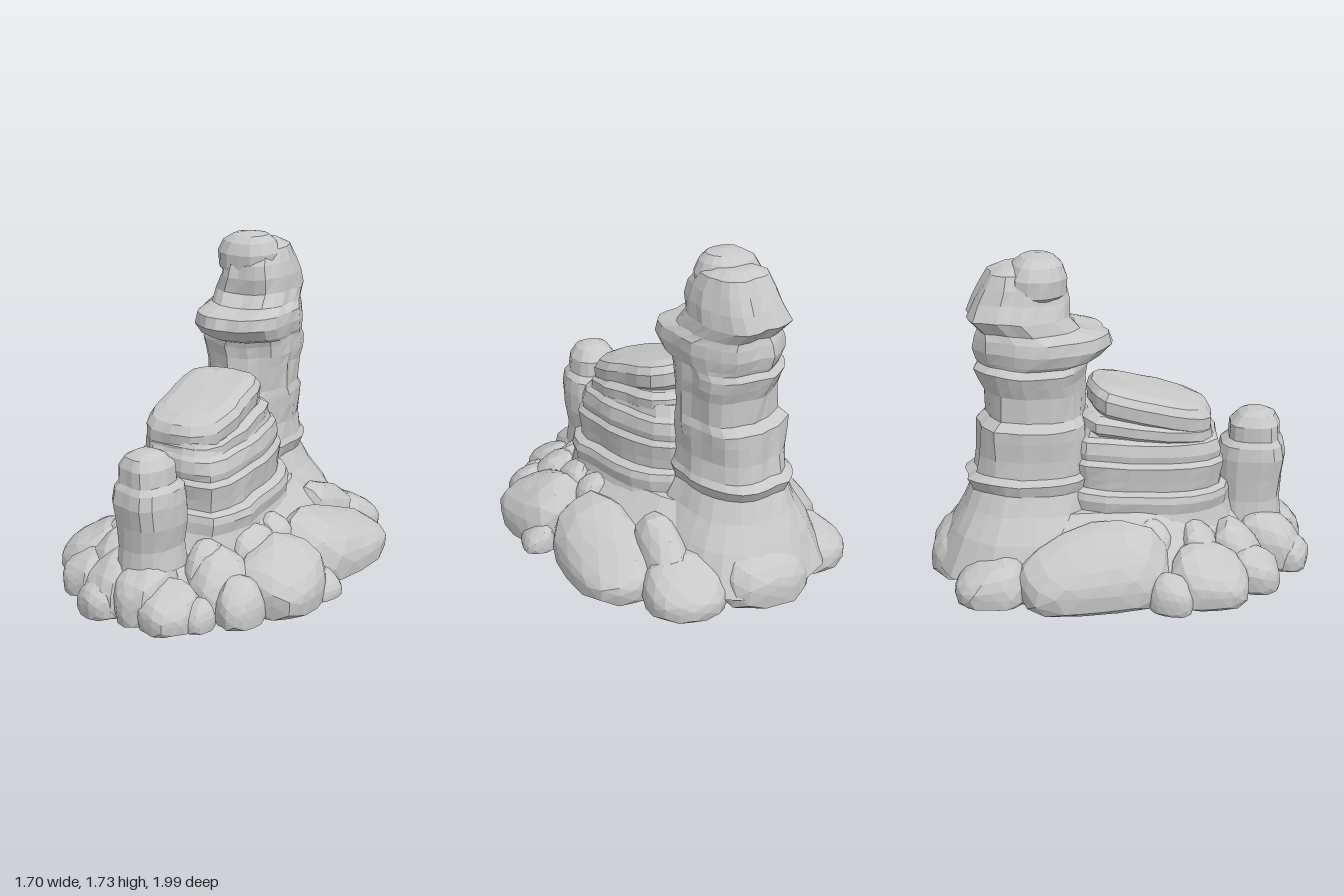
import * as THREE from 'three';

const stone = new THREE.MeshStandardMaterial({ color: 0xc8c8c8 });
stone.name = 'greyStone';
stone.flatShading = true;

const TURN = 0.43; // the ridge runs diagonally across the base
const floorAt = (x, z) => 0.02 + 0.015 * x - 0.015 * z;
const rough = (x, y, z) =>
  (Math.sin(9 * x + 5 * y + 1) + Math.sin(11 * z - 7 * y + 2) + Math.sin(17 * x - 13 * z + 4 * y)) / 3;

// Weathered strata: rings of [y, centreX, centreZ, halfWidth, halfLength], bottom to top
function strata(name, rings, { tilt = 0, power = 2.7, turn = TURN, sides = 26, wear = 0.016 } = {}) {
  const pos = [], index = [];
  const s = Math.sin(turn), c = Math.cos(turn);
  for (const [y, cx, cz, hw, hl] of rings) {
    for (let i = 0; i < sides; i++) {
      const a = (i / sides) * Math.PI * 2;
      const ca = Math.cos(a), sa = Math.sin(a);
      const k = 1 / Math.pow(Math.abs(ca) ** power + Math.abs(sa) ** power, 1 / power);
      const n = 1 + (wear * rough(ca * 0.7, y * 1.3, sa * 0.7)) / Math.max(hw, 0.12);
      const u = ca * k * hw * n, v = sa * k * hl * n;
      const x = cx + u * c + v * s, z = cz - u * s + v * c;
      const lift = wear * 0.7 * rough(x, 1, z);
      pos.push(x, Math.max(floorAt(x, z), y - tilt * v + lift), z);
    }
  }
  const last = rings.length - 1;
  for (let r = 0; r < last; r++) {
    for (let i = 0; i < sides; i++) {
      const a = r * sides + i, b = r * sides + ((i + 1) % sides);
      index.push(a, a + sides, b, b, a + sides, b + sides);
    }
  }
  // Close both ends
  for (const r of [0, last]) {
    const [y, cx, cz] = rings[r];
    const mid = pos.length / 3;
    pos.push(cx, r ? y + 0.006 : Math.max(y, floorAt(cx, cz)), cz);
    for (let i = 0; i < sides; i++) {
      const a = r * sides + i, b = r * sides + ((i + 1) % sides);
      index.push(...(r ? [mid, b, a] : [mid, a, b]));
    }
  }
  const g = new THREE.BufferGeometry();
  g.setAttribute('position', new THREE.Float32BufferAttribute(pos, 3));
  g.setIndex(index);
  g.computeVertexNormals();
  const mesh = new THREE.Mesh(g, stone);
  mesh.name = name;
  return mesh;
}

// Blocky rounded boulder, sloping away from the middle and cut flat at the ground
function boulder([x, z, rx, rz, top, turn = 0, low = 0]) {
  const g = new THREE.IcosahedronGeometry(1, 2);
  const p = g.attributes.position;
  const cy = low + (top - low) * 0.35, ry = (top - low) * 0.65;
  const s = Math.sin(turn), c = Math.cos(turn), far = Math.hypot(x, z);
  for (let i = 0; i < p.count; i++) {
    const a = p.getX(i), b = p.getY(i), d = p.getZ(i);
    const k = (Math.abs(a) ** 2.6 + Math.abs(b) ** 2.6 + Math.abs(d) ** 2.6) ** (-1 / 2.6);
    const n = k * (1 + 0.07 * rough(a * 0.35 + x * 3, b * 0.35, d * 0.35 + z * 3));
    const u = a * rx * n, v = d * rz * n;
    const px = x + u * c + v * s, pz = z - u * s + v * c;
    const outward = ((px - x) * x + (pz - z) * z) / far;
    const py = cy + b * ry * n - 0.45 * outward * Math.max(b, 0);
    p.setXYZ(i, px, Math.max(floorAt(px, pz), py), pz);
  }
  g.computeVertexNormals();
  const mesh = new THREE.Mesh(g, stone);
  mesh.name = 'boulder';
  return mesh;
}

export function createModel() {
  const model = new THREE.Group();
  model.name = 'rockFormation';

  // Sloping ground mass under everything
  model.add(strata('baseMound', [
    [0, -0.01, -0.02, 0.62, 0.84], [0.1, -0.01, -0.02, 0.61, 0.82],
    [0.22, -0.03, -0.03, 0.5, 0.72], [0.33, -0.05, -0.04, 0.4, 0.62], [0.42, -0.06, -0.05, 0.31, 0.52],
  ], { power: 2.2 }));

  // Layered ridge in front of the tower
  const layer = (y, hw, hl) => [y, 0.025, 0.1, hw, hl];
  model.add(strata('layeredRidge', [
    layer(0.2, 0.38, 0.53), layer(0.4, 0.33, 0.46), layer(0.46, 0.345, 0.46), layer(0.495, 0.335, 0.45),
    layer(0.51, 0.29, 0.42), layer(0.56, 0.295, 0.42), layer(0.64, 0.305, 0.43), layer(0.665, 0.28, 0.41),
    layer(0.7, 0.285, 0.415), layer(0.76, 0.27, 0.4), layer(0.78, 0.24, 0.38), layer(0.84, 0.22, 0.35),
  ], { tilt: 0.06, power: 3 }));
  model.add(strata('ridgeUpperLayer', [
    [0.76, 0.02, 0.12, 0.22, 0.32], [0.79, 0.02, 0.12, 0.25, 0.35],
    [0.84, 0.02, 0.12, 0.25, 0.35], [0.87, 0.02, 0.12, 0.21, 0.31],
  ], { tilt: 0.14, power: 3.2 }));
  model.add(strata('topSlab', [
    [0.82, 0.02, 0.15, 0.19, 0.28], [0.86, 0.02, 0.15, 0.225, 0.315], [0.93, 0.02, 0.15, 0.23, 0.32],
    [0.97, 0.02, 0.15, 0.205, 0.295], [0.99, 0.02, 0.15, 0.15, 0.23],
  ], { tilt: 0.25, power: 3.6, wear: 0.01 }));

  // Tall tower at the back, with its overhanging ledge
  model.add(strata('tower', [
    [0.1, -0.25, -0.44, 0.44, 0.48], [0.3, -0.26, -0.43, 0.36, 0.4], [0.42, -0.26, -0.42, 0.29, 0.34],
    [0.52, -0.26, -0.41, 0.25, 0.3], [0.58, -0.26, -0.42, 0.27, 0.32], [0.61, -0.25, -0.41, 0.25, 0.285],
    [0.7, -0.25, -0.4, 0.24, 0.28], [0.8, -0.25, -0.4, 0.245, 0.28], [0.86, -0.25, -0.4, 0.245, 0.28],
    [0.9, -0.23, -0.39, 0.22, 0.25], [1.03, -0.23, -0.39, 0.22, 0.255], [1.09, -0.24, -0.4, 0.235, 0.265],
    [1.15, -0.25, -0.4, 0.245, 0.28], [1.18, -0.23, -0.39, 0.23, 0.27], [1.2, -0.22, -0.36, 0.24, 0.31],
    [1.26, -0.215, -0.34, 0.255, 0.345], [1.32, -0.215, -0.345, 0.25, 0.33], [1.355, -0.24, -0.41, 0.225, 0.25],
    [1.42, -0.27, -0.46, 0.225, 0.25], [1.5, -0.245, -0.45, 0.2, 0.235], [1.57, -0.24, -0.44, 0.18, 0.21],
    [1.64, -0.24, -0.45, 0.15, 0.16], [1.67, -0.24, -0.45, 0.09, 0.1],
  ], { power: 2.5 }));
  model.add(strata('towerCap', [
    [1.5, -0.24, -0.37, 0.13, 0.12], [1.535, -0.24, -0.37, 0.17, 0.15], [1.62, -0.235, -0.365, 0.172, 0.152],
    [1.68, -0.23, -0.36, 0.14, 0.125], [1.715, -0.22, -0.36, 0.095, 0.085], [1.724, -0.22, -0.36, 0.05, 0.05],
  ], { power: 2.2, sides: 16, wear: 0.008 }));

  // Small free-standing pillar at the front
  model.add(strata('frontPillar', [
    [0.25, 0.23, 0.65, 0.16, 0.17], [0.36, 0.23, 0.65, 0.145, 0.165], [0.48, 0.24, 0.65, 0.16, 0.175],
    [0.59, 0.24, 0.66, 0.165, 0.18], [0.66, 0.24, 0.66, 0.155, 0.165], [0.69, 0.24, 0.67, 0.13, 0.135],
    [0.77, 0.235, 0.67, 0.125, 0.13], [0.82, 0.235, 0.68, 0.09, 0.095], [0.842, 0.235, 0.68, 0.05, 0.05],
  ], { power: 2.5, turn: 0.15, sides: 18, wear: 0.008 }));

  // Boulders round the foot: x, z, radii, top, turn, underside
  const boulders = new THREE.Group();
  boulders.name = 'boulders';
  [
    [-0.53, 0.02, 0.2, 0.4, 0.36, 0.45], [0.4, -0.4, 0.21, 0.39, 0.31, 0.2],
    [0.08, -0.8, 0.2, 0.19, 0.25], [-0.33, -0.75, 0.23, 0.19, 0.32, 0.3],
    [-0.66, -0.49, 0.18, 0.18, 0.24, 0.3], [0.14, -0.6, 0.12, 0.22, 0.36, 0.2],
    [0.62, 0.14, 0.2, 0.25, 0.32, 0.4], [0.69, -0.07, 0.09, 0.1, 0.16],
    [0.38, -0.02, 0.09, 0.09, 0.38, 0, 0.2], [0.44, 0.17, 0.1, 0.13, 0.37, 0, 0.15],
    [0.5, 0.43, 0.14, 0.16, 0.31], [0.66, 0.44, 0.11, 0.12, 0.23],
    [0.59, 0.64, 0.07, 0.08, 0.16], [0.47, 0.73, 0.14, 0.15, 0.21],
    [0.13, 0.78, 0.14, 0.18, 0.3, 0.1], [0.31, 0.74, 0.13, 0.18, 0.31, 0.2],
    [0.13, 0.89, 0.11, 0.11, 0.2], [-0.08, 0.65, 0.13, 0.13, 0.31],
    [-0.15, 0.77, 0.13, 0.13, 0.21], [-0.34, 0.57, 0.18, 0.21, 0.26, 0.3],
    [-0.53, 0.42, 0.08, 0.11, 0.19], [-0.32, 0.27, 0.08, 0.09, 0.37, 0, 0.2],
    [-0.2, 0.48, 0.12, 0.09, 0.34, 0.3, 0.15], [0.4, 0.45, 0.1, 0.12, 0.35],
  ].forEach((b) => boulders.add(boulder(b)));
  model.add(boulders);
  return model;
}
